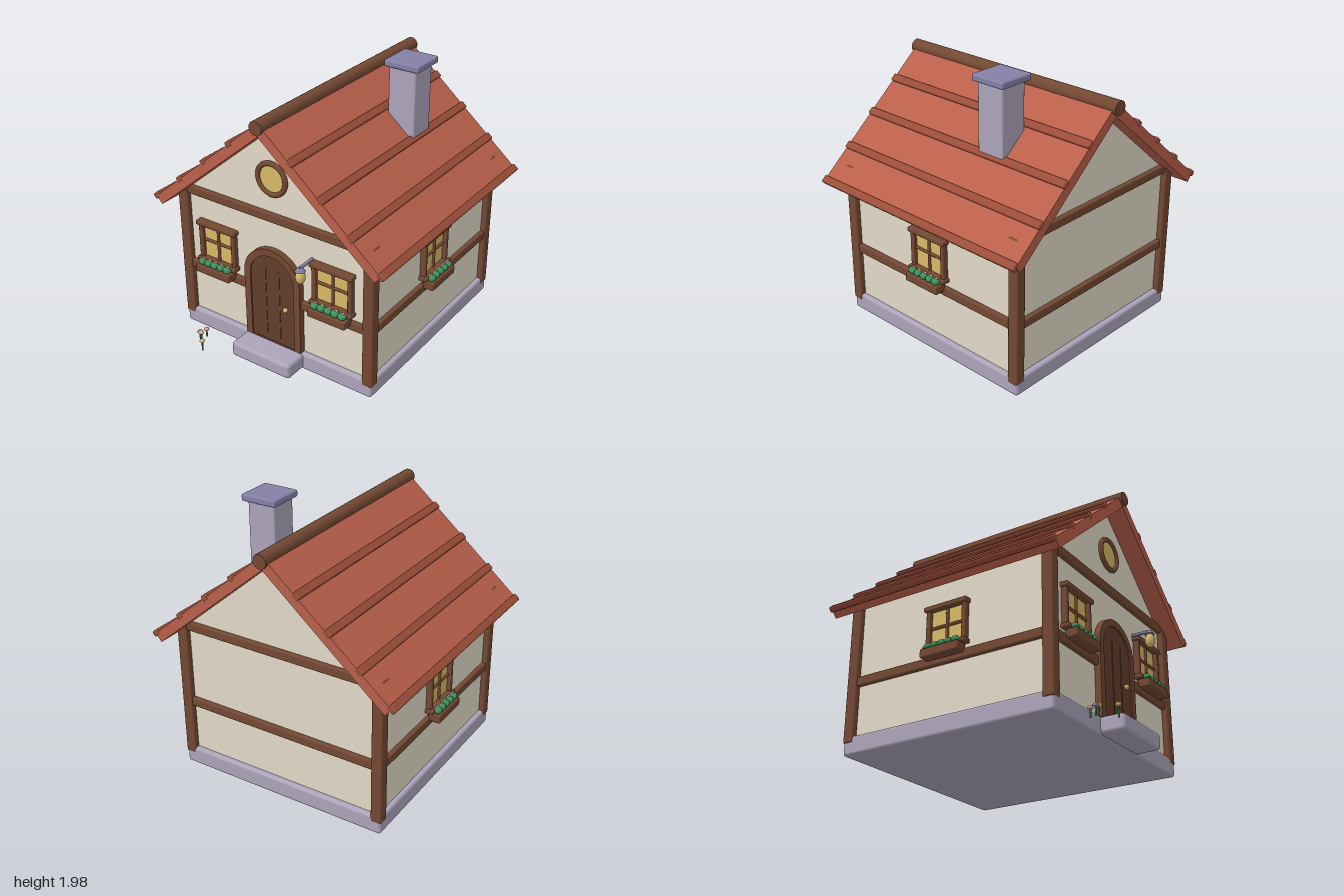
import * as THREE from 'three';
import { RoundedBoxGeometry } from 'three/addons/geometries/RoundedBoxGeometry.js';

const mat = (name, color) => {
  const m = new THREE.MeshStandardMaterial({ color });
  m.name = name;
  return m;
};

export function createModel() {
  const plaster = mat('plaster', 0xe2dac8), timber = mat('timber', 0x734832), darkWood = mat('dark wood', 0x633d2b);
  const roofRed = mat('roof red', 0xb9604a), roofDark = mat('dark roof red', 0x9a4d39);
  const stone = mat('stone', 0xaca4ba), slate = mat('slate', 0x8480a6), gold = mat('warm gold', 0xd8b868);
  const green = mat('leaf green', 0x3f9160), pink = mat('blossom pink', 0xd9a0a0);

  const house = new THREE.Group();
  house.name = 'cottage';

  const add = (parent, name, geo, material, x = 0, y = 0, z = 0) => {
    const m = new THREE.Mesh(geo, material);
    m.name = name;
    m.position.set(x, y, z);
    parent.add(m);
    return m;
  };
  const box = (parent, name, material, w, h, d, x, y, z, r = 0.008) =>
    add(parent, name, new RoundedBoxGeometry(w, h, d, 2, Math.min(r, w / 2.1, h / 2.1, d / 2.1)), material, x, y, z);
  const extrude = (shape, depth) => new THREE.ExtrudeGeometry(shape, { depth, bevelEnabled: false, curveSegments: 24 });
  const ball = (parent, name, material, r, x, y, z, sy = 1) => {
    const m = add(parent, name, new THREE.SphereGeometry(r, 16, 12), material, x, y, z);
    m.scale.y = sy;
    return m;
  };

  // Main extents of the walls
  const WX = 0.77, ZF = 0.70, ZB = -0.845, ZC = -0.0725;

  // Stone base and doorstep
  box(house, 'foundation', stone, 1.61, 0.13, 1.62, 0, 0.065, ZC, 0.02);
  box(house, 'doorstep', stone, 0.5, 0.115, 0.22, 0, 0.0675, 0.795, 0.025);

  // Walls with gables at both ends
  const wall = new THREE.Shape([[-WX, 0.1], [WX, 0.1], [WX, 1.105], [0, 1.76], [-WX, 1.105]].map(p => new THREE.Vector2(...p)));
  add(house, 'walls', extrude(wall, ZF - ZB), plaster, 0, 0, ZB);

  // Timber frame
  for (const x of [-WX, WX]) {
    for (const z of [ZF, ZB]) box(house, 'cornerPost', timber, 0.08, 1.07, 0.08, x, 0.62, z, 0.012);
    box(house, 'sideBeam', timber, 0.06, 0.065, 1.5, x, 0.515, ZC, 0.01);
  }
  for (const z of [ZF, ZB]) {
    box(house, 'middleBeam', timber, 1.5, 0.065, 0.06, 0, 0.515, z, 0.01);
    box(house, 'gableBeam', timber, 1.5, 0.065, 0.06, 0, 1.112, z, 0.01);
  }

  // Roof slopes with battens, the second turned half round
  const pitch = Math.atan(0.85), thick = 0.0716, slopeLength = 1.151;
  for (const turn of [0, Math.PI]) {
    const side = new THREE.Group();
    side.name = turn ? 'rightRoof' : 'leftRoof';
    side.position.set(0, 1.74, -0.07);
    side.rotation.y = turn;
    const slope = new THREE.Group();
    slope.name = 'roofSlope';
    slope.rotation.z = -pitch;
    side.add(slope);
    add(slope, 'roofPanel', new THREE.BoxGeometry(slopeLength, thick, 1.81), roofRed, slopeLength / 2, thick / 2, 0);
    for (let i = 0; i < 4; i++)
      box(slope, 'roofBatten', roofDark, 0.055, 0.042, 1.815, 0.262 + i * 0.296, thick, 0, 0.01);
    house.add(side);
  }
  const ridge = add(house, 'ridgeBeam', new THREE.CylinderGeometry(0.05, 0.05, 1.855, 20), timber, 0, 1.805, ZC);
  ridge.rotation.x = Math.PI / 2;

  // Chimney
  box(house, 'chimney', stone, 0.21, 0.6, 0.215, 0.381, 1.64, -0.348, 0.012);
  box(house, 'chimneyCap', slate, 0.27, 0.05, 0.27, 0.383, 1.953, -0.352, 0.014);

  // Window with flower box, facing +z with its wall at z = 0
  const addWindow = (name, x, z, turn) => {
    const g = new THREE.Group();
    g.name = name;
    g.position.set(x, 0, z);
    g.rotation.y = turn;
    add(g, 'windowPane', new THREE.BoxGeometry(0.27, 0.27, 0.009), gold, 0, 0.74, 0.006);
    for (const s of [-1, 1]) box(g, 'windowJamb', timber, 0.032, 0.27, 0.05, s * 0.142, 0.742, 0.015);
    box(g, 'windowLintel', timber, 0.34, 0.034, 0.07, 0, 0.885, 0.02);
    box(g, 'windowSill', timber, 0.34, 0.032, 0.08, 0, 0.6, 0.02);
    box(g, 'verticalBar', timber, 0.02, 0.26, 0.025, 0, 0.74, 0.012);
    box(g, 'crossBar', timber, 0.26, 0.02, 0.025, 0, 0.748, 0.012);
    box(g, 'flowerBox', timber, 0.3, 0.06, 0.09, 0, 0.549, 0.06);
    for (let i = -2; i <= 2; i++) {
      ball(g, 'leaves', green, 0.031, i * 0.055, 0.598, 0.068, 0.8);
      ball(g, 'blossom', i % 2 ? gold : pink, 0.011, i * 0.055 + 0.006, 0.618, 0.064);
    }
    house.add(g);
  };
  addWindow('frontRightWindow', -0.482, ZF, 0);
  addWindow('frontLeftWindow', 0.485, ZF, 0);
  addWindow('leftWindow', WX, -0.07, Math.PI / 2);
  addWindow('rightWindow', -WX, -0.07, -Math.PI / 2);

  // Round gable window
  add(house, 'roundFrame', new THREE.TorusGeometry(0.111, 0.018, 12, 40), timber, 0, 1.395, ZF + 0.01);
  const pane = add(house, 'roundPane', new THREE.CylinderGeometry(0.105, 0.105, 0.009, 36), gold, 0, 1.395, ZF + 0.006);
  pane.rotation.x = Math.PI / 2;

  // Arched door
  const arch = (r) => {
    const s = new THREE.Shape();
    s.moveTo(-r, 0.13);
    s.lineTo(r, 0.13);
    s.lineTo(r, 0.64);
    s.absarc(0, 0.64, r, 0, Math.PI, false);
    s.lineTo(-r, 0.13);
    return s;
  };
  const surround = arch(0.235);
  surround.holes.push(new THREE.Path(new THREE.Shape()
    .moveTo(-0.183, 0.135).lineTo(-0.183, 0.64).absarc(0, 0.64, 0.183, Math.PI, 0, true).lineTo(0.183, 0.135)
    .lineTo(-0.183, 0.135).getPoints(24)));
  add(house, 'doorFrame', extrude(surround, 0.05), timber, 0, 0, ZF - 0.005);
  add(house, 'door', extrude(arch(0.185), 0.04), darkWood, 0, 0, ZF - 0.005);
  for (const x of [-0.057, 0.057])
    add(house, 'doorGroove', new THREE.BoxGeometry(0.006, 0.56, 0.006), timber, x, 0.435, ZF + 0.036);
  ball(house, 'doorKnob', gold, 0.018, 0.112, 0.44, 0.745);

  // Hanging lantern
  box(house, 'lanternArm', slate, 0.02, 0.02, 0.14, 0.315, 0.903, 0.77, 0.006);
  add(house, 'lanternCap', new THREE.CylinderGeometry(0.014, 0.036, 0.03, 16), slate, 0.315, 0.893, 0.837);
  ball(house, 'lantern', gold, 0.034, 0.315, 0.833, 0.837, 1.5);

  // Small flowers by the doorstep
  const flowers = [[-0.46, 0.975, 0.088, gold], [-0.545, 0.89, 0.072, gold], [-0.565, 0.88, 0.068, slate], [-0.545, 0.832, 0.07, pink]];
  for (const [x, z, y, colour] of flowers) {
    add(house, 'flowerStem', new THREE.CylinderGeometry(0.006, 0.006, y - 0.005, 8), green, x, (y + 0.005) / 2, z);
    ball(house, 'flowerHead', colour, 0.019, x, y, z, 0.7);
  }
  return house;
}
